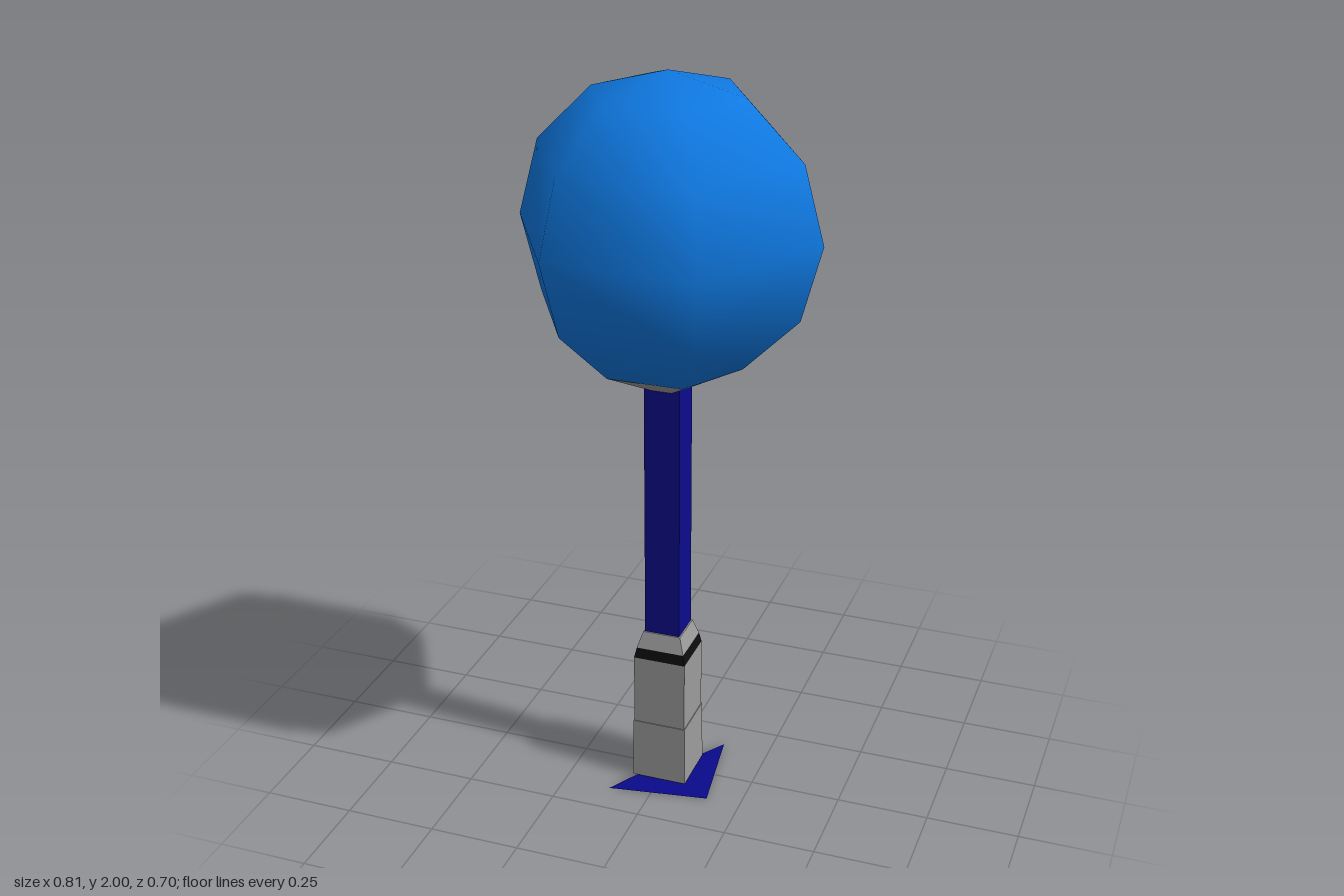
import * as THREE from 'three';

const mat = (name, color, side = THREE.FrontSide) => {
  const m = new THREE.MeshStandardMaterial({ color, side });
  m.name = name;
  return m;
};

export function createModel() {
  const group = new THREE.Group();
  const blue = mat('bright blue', 0x0f78e0);
  const navy = mat('navy', 0x0a0a8c, THREE.DoubleSide);
  const grey = mat('grey', 0x9c9c9c);
  const black = mat('black', 0x0c0c0c);

  const add = (name, geometry, material) => {
    const mesh = new THREE.Mesh(geometry, material);
    mesh.name = name;
    group.add(mesh);
    return mesh;
  };

  // Flat-faced frustum between two heights; radii are measured to the corners
  const frustum = (name, sides, turn, r0, r1, y0, y1, material, open = false) => {
    let g = new THREE.CylinderGeometry(r1, r0, y1 - y0, sides, 1, open);
    g.rotateY(turn);
    g.translate(0, (y0 + y1) / 2, 0);
    g = g.toNonIndexed();
    g.computeVertexNormals();
    return add(name, g, material);
  };
  // Square section given by half widths
  const square = (name, h0, h1, y0, y1, material) =>
    frustum(name, 4, Math.PI / 4, h0 * Math.SQRT2, h1 * Math.SQRT2, y0, y1, material);

  // Head: six-sided smooth ball, left open where the grey socket closes it
  const R = 0.404;
  const ball = new THREE.SphereGeometry(R, 6, 6);
  ball.setIndex(Array.from(ball.index.array).slice(0, -18));
  ball.translate(0, 1.597, 0);
  add('head', ball, blue);
  const rim = 1.597 - R * Math.cos(Math.PI / 6);
  frustum('headSocket', 6, Math.PI / 2, 0.05, R / 2, 1.172, rim, grey);

  // Shaft and grip
  square('shaft', 0.049, 0.049, 0.44, 1.19, navy);
  square('collar', 0.067, 0.053, 0.412, 0.458, grey);
  square('collarBand', 0.073, 0.067, 0.383, 0.412, black);
  square('gripUpper', 0.073, 0.073, 0.18, 0.383, grey);
  square('gripLower', 0.077, 0.075, 0.004, 0.18, grey);

  // Three-pointed flat plate under the grip
  const outline = [
    [0.155, 0.117], [0.117, -0.155], [0.06, -0.068],
    [-0.075, -0.075], [-0.06, 0.06], [-0.117, 0.16],
  ];
  const plate = new THREE.ShapeGeometry(
    new THREE.Shape(outline.map(([x, z]) => new THREE.Vector2(x, -z))));
  plate.rotateX(-Math.PI / 2);
  add('footPlate', plate, navy);

  return group;
}
